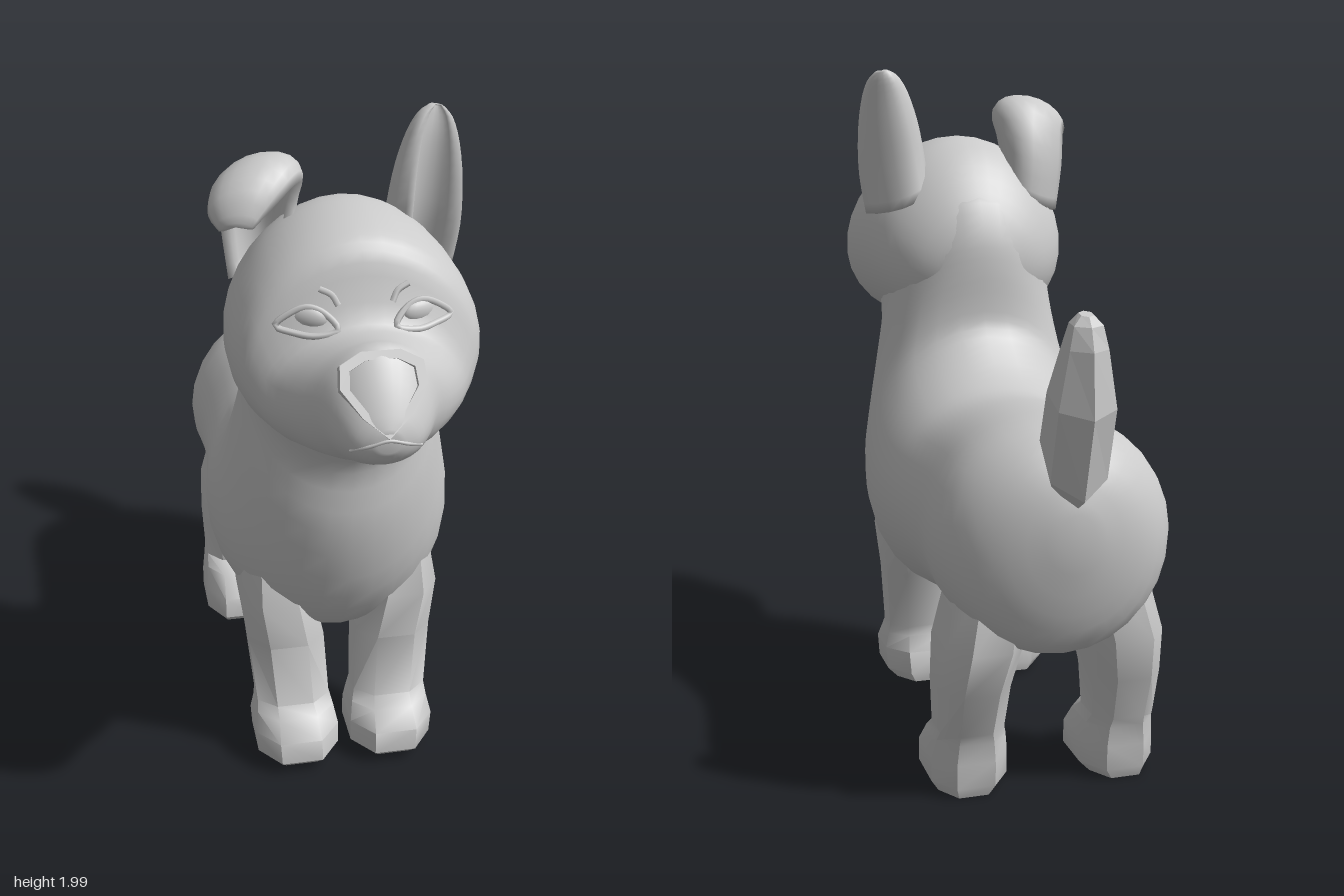
import * as THREE from 'three';
import { toCreasedNormals } from 'three/addons/utils/BufferGeometryUtils.js';

const smoothMat = new THREE.MeshStandardMaterial({ color: 0xcccccc });
const flatMat = new THREE.MeshStandardMaterial({ color: 0xcccccc, flatShading: true });

// Skin a closed solid over equal-length rings of Vector3, capped at both ends
function skin(rings) {
  const n = rings[0].length, pos = [], idx = [];
  rings.forEach(r => r.forEach(p => pos.push(p.x, p.y, p.z)));
  for (let i = 0; i < rings.length - 1; i++) {
    for (let j = 0; j < n; j++) {
      const a = i * n + j, b = i * n + (j + 1) % n;
      idx.push(a, b, a + n, b, b + n, a + n);
    }
  }
  const capEnd = (base, flip) => {
    const ring = rings[base / n], c = new THREE.Vector3();
    ring.forEach(p => c.addScaledVector(p, 1 / n));
    const k = pos.length / 3;
    pos.push(c.x, c.y, c.z);
    for (let j = 0; j < n; j++) {
      const a = base + j, b = base + (j + 1) % n;
      idx.push(k, flip ? b : a, flip ? a : b);
    }
  };
  capEnd(0, true);
  capEnd((rings.length - 1) * n, false);
  // Turn the faces outward when the enclosed volume is negative
  const v = i => new THREE.Vector3().fromArray(pos, 3 * i);
  let volume = 0;
  for (let i = 0; i < idx.length; i += 3) volume += v(idx[i]).dot(v(idx[i + 1]).cross(v(idx[i + 2])));
  if (volume < 0) idx.reverse();
  const g = new THREE.BufferGeometry();
  g.setAttribute('position', new THREE.Float32BufferAttribute(pos, 3));
  g.setIndex(idx);
  g.computeVertexNormals();
  return g;
}

// Catmull-Rom through rows of numbers
function refine(rows, steps) {
  const out = [], at = i => rows[Math.max(0, Math.min(rows.length - 1, i))];
  for (let i = 0; i < rows.length - 1; i++) {
    for (let s = 0; s < steps; s++) {
      const t = s / steps;
      out.push(rows[i].map((p1, k) => {
        const p0 = at(i - 1)[k], p2 = at(i + 1)[k], p3 = at(i + 2)[k];
        return p1 + 0.5 * t * (p2 - p0 + t * (2 * p0 - 5 * p1 + 4 * p2 - p3 + t * (3 * (p1 - p2) + p3 - p0)));
      }));
    }
  }
  out.push(rows[rows.length - 1]);
  return out;
}

// Oval ring between an upper and a lower point on the centre plane: [zTop, yTop, zLow, yLow, halfWidth]
function ovalRing([z1, y1, z2, y2, w], sides, egg = 0) {
  return Array.from({ length: sides }, (_, j) => {
    const t = (j / sides) * Math.PI * 2, c = Math.cos(t);
    return new THREE.Vector3(
      w * Math.sin(t) * (1 + egg * c),
      (y1 + y2) / 2 + (y1 - y2) / 2 * c,
      (z1 + z2) / 2 + (z1 - z2) / 2 * c);
  });
}

// Level leg ring, a box with cut corners: [y, zBack, zFront, xIn, xOut]
function legRing([y, zb, zf, xi, xo], side) {
  const corners = [[1, .45], [.5, 1], [-.5, 1], [-1, .45], [-1, -.5], [-.5, -1], [.5, -1], [1, -.5]];
  return corners.map(([a, b]) => new THREE.Vector3(
    side * ((xi + xo) / 2 + a * (xo - xi) / 2), y, (zb + zf) / 2 + b * (zf - zb) / 2));
}

// Cupped ear ring from front edge to outer edge, hollow side turned outward: [ax, ay, az, bx, by, bz, depth, tilt]
function earRing([ax, ay, az, bx, by, bz, depth, tilt], side) {
  const a = new THREE.Vector3(side * ax, ay, az), b = new THREE.Vector3(side * bx, by, bz);
  const mid = a.clone().add(b).multiplyScalar(.5), half = a.clone().sub(mid);
  const back = new THREE.Vector3(-side * .5 * Math.cos(tilt), Math.sin(tilt), -Math.cos(tilt)).normalize();
  const ring = [], n = 10;
  const arc = (i, w, d) => ring.push(mid.clone()
    .addScaledVector(half, w * Math.cos(i / n * Math.PI))
    .addScaledVector(back, d * Math.sin(i / n * Math.PI)));
  for (let i = 0; i <= n; i++) arc(i, 1, depth);
  for (let i = n; i >= 0; i--) arc(i, .74, depth * .55);
  return ring;
}

export function createModel() {
  const model = new THREE.Group();
  const add = (name, geometry, material = smoothMat) => {
    const m = new THREE.Mesh(geometry, material);
    m.name = name;
    model.add(m);
    return m;
  };

  // Body and neck, from rump to the back of the head
  const body = [
    [-.825, .86, -.825, .74, .05], [-.79, .97, -.79, .57, .18], [-.71, 1.05, -.73, .45, .285],
    [-.6, 1.08, -.6, .43, .34], [-.4, 1.075, -.4, .43, .328], [-.2, 1.06, -.2, .42, .335],
    [-.1, 1.09, 0, .38, .355], [-.02, 1.15, .15, .36, .365], [.04, 1.22, .33, .43, .355],
    [.05, 1.3, .45, .6, .325], [.05, 1.4, .51, .85, .29], [.06, 1.5, .51, 1.05, .268],
    [.1, 1.6, .57, 1.17, .265], [.16, 1.65, .58, 1.28, .25]];
  add('body', skin(refine(body, 3).map(r => ovalRing(r, 28, -.02))));

  // Head, from nape to muzzle
  const head = [
    [.06, 1.48, 1.38, .06], [.1, 1.59, 1.28, .18], [.18, 1.71, 1.21, .27], [.28, 1.785, 1.185, .315],
    [.4, 1.795, 1.18, .335], [.52, 1.775, 1.18, .335], [.585, 1.735, 1.18, .315], [.62, 1.645, 1.19, .29],
    [.66, 1.565, 1.2, .26], [.74, 1.56, 1.22, .205], [.8, 1.565, 1.245, .155], [.86, 1.5, 1.27, .12],
    [.905, 1.43, 1.3, .08], [.925, 1.39, 1.335, .03]];
  const headRows = refine(head, 3).map(([z, top, low, w]) => [z, top, z, low, w]);
  const headMesh = add('head', skin(headRows.map(r => ovalRing(r, 32, -.12))));

  // Point on the face at a given x and y
  const ray = new THREE.Raycaster();
  const onFace = (x, y, lift = 0) => {
    ray.set(new THREE.Vector3(x, y, 3), new THREE.Vector3(0, 0, -1));
    const hit = ray.intersectObject(headMesh)[0];
    return new THREE.Vector3(x, y, hit.point.z + lift);
  };
  const ridge = (name, pts, radius, closed = false) => add(name, new THREE.TubeGeometry(
    new THREE.CatmullRomCurve3(pts.map(([x, y]) => onFace(x, y)), closed), 28, radius, 6, closed));

  // Eyes with almond lids and short brows
  for (const s of [1, -1]) {
    const side = s > 0 ? 'left' : 'right';
    const eye = add(side + 'Eye', new THREE.SphereGeometry(1, 18, 12));
    eye.position.copy(onFace(s * .145, 1.575, -.018));
    eye.scale.set(.055, .034, .024);
    eye.rotation.y = s * .4;
    const lid = [[.075, 1.555], [.11, 1.595], [.15, 1.607], [.195, 1.59], [.23, 1.56], [.185, 1.545], [.13, 1.54]];
    ridge(side + 'Eyelid', lid.map(([x, y]) => [s * x, y]), .009, true);
    ridge(side + 'Brow', [[s * .07, 1.61], [s * .085, 1.635], [s * .115, 1.65]], .009);
  }

  // Nose: a heart-like rim around a sunken pad, leaning back
  const outline = [[-.05, .1], [-.105, .07], [-.11, .01], [-.06, -.065], [0, -.12], [.06, -.065], [.11, .01], [.105, .07], [.05, .1]];
  const scaled = k => outline.map(([x, y]) => new THREE.Vector2(x * k, y * k));
  const rim = new THREE.Shape(scaled(1));
  rim.holes.push(new THREE.Path(scaled(.78).reverse()));
  const nose = new THREE.Group();
  nose.name = 'nose';
  const solid = (name, shape, depth) => {
    const m = new THREE.Mesh(new THREE.ExtrudeGeometry(shape, { depth, bevelEnabled: false }), flatMat);
    m.name = name;
    m.position.z = -.055;
    nose.add(m);
  };
  solid('noseRim', rim, .06);
  solid('nosePad', new THREE.Shape(scaled(.8)), .035);
  nose.position.set(0, 1.475, .862);
  nose.rotation.x = -.58;
  model.add(nose);

  // Lip line
  ridge('lips', [[-.09, 1.335], [-.05, 1.355], [0, 1.37], [.05, 1.355], [.09, 1.335]], .005);

  // Upright left ear
  const leftEar = [
    [.16, 1.66, .37, .32, 1.56, .28, .17, 0], [.165, 1.76, .365, .338, 1.68, .29, .16, 0],
    [.18, 1.86, .34, .342, 1.8, .28, .135, 0], [.205, 1.94, .305, .335, 1.9, .26, .1, 0],
    [.235, 1.985, .27, .32, 1.965, .235, .065, 0], [.265, 2, .24, .295, 1.995, .215, .03, 0]];
  add('leftEar', skin(refine(leftEar, 3).map(r => earRing(r, 1))));

  // Right ear, folding forward near the top
  const rightEar = [
    [.15, 1.66, .36, .305, 1.56, .28, .16, 0], [.135, 1.77, .35, .32, 1.7, .27, .14, 0],
    [.115, 1.845, .365, .33, 1.8, .29, .115, .6], [.14, 1.86, .41, .355, 1.82, .345, .085, 1.3],
    [.2, 1.82, .45, .368, 1.79, .41, .06, 1.8], [.26, 1.77, .475, .345, 1.76, .45, .025, 2]];
  add('rightEar', skin(refine(rightEar, 3).map(r => earRing(r, -1))));

  // Legs with paws, tops tucked into the body
  const frontLeg = [
    [.02, .21, .47, .05, .24], [.05, .205, .5, .02, .27], [.12, .215, .495, .02, .275], [.17, .235, .445, .03, .265],
    [.2, .24, .41, .04, .262], [.4, .175, .39, .05, .28], [.55, .13, .395, .08, .3], [.75, .16, .32, .14, .27]];
  const hindLeg = [
    [.01, -.62, -.35, .14, .31], [.04, -.63, -.32, .11, .33], [.11, -.63, -.325, .11, .33], [.17, -.635, -.39, .12, .32],
    [.2, -.645, -.445, .13, .315], [.33, -.69, -.43, .12, .32], [.46, -.73, -.415, .09, .315], [.64, -.69, -.44, .06, .27]];
  for (const s of [1, -1]) {
    const side = s > 0 ? 'left' : 'right';
    const leg = rows => toCreasedNormals(skin(rows.map(r => legRing(r, s))), .8);
    add(side + 'FrontLeg', leg(frontLeg));
    add(side + 'HindLeg', leg(hindLeg));
  }

  // Raised faceted tail
  const tail = [
    [-.62, 1.03, -.79, .86, .05], [-.69, 1.09, -.87, .905, .09], [-.74, 1.2, -.935, 1.13, .09],
    [-.79, 1.31, -.925, 1.3, .06], [-.82, 1.37, -.905, 1.36, .045], [-.84, 1.395, -.885, 1.385, .02]];
  add('tail', skin(tail.map(r => ovalRing(r, 6))), flatMat);

  return model;
}
